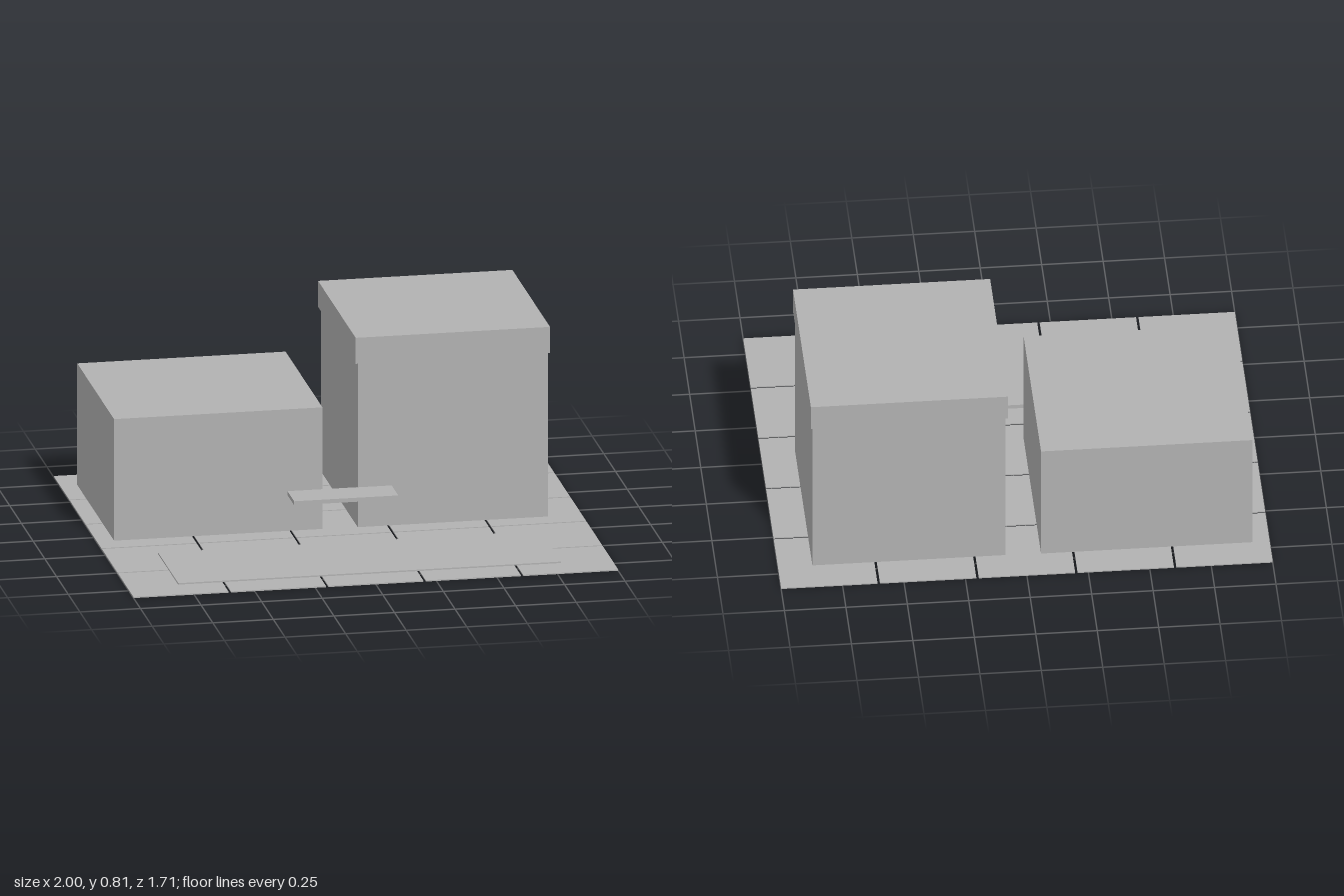
import * as THREE from 'three';

const concrete = new THREE.MeshStandardMaterial({ color: 0xb2b2b2 });
concrete.name = 'concrete grey';

// Box given by its lower and upper corners
function block(name, [x0, y0, z0], [x1, y1, z1]) {
  const geometry = new THREE.BoxGeometry(x1 - x0, y1 - y0, z1 - z0);
  const mesh = new THREE.Mesh(geometry, concrete);
  mesh.name = name;
  mesh.position.set((x0 + x1) / 2, (y0 + y1) / 2, (z0 + z1) / 2);
  return mesh;
}

// Five by five paving slabs separated by narrow joints
function createPaving() {
  const paving = new THREE.Group();
  paving.name = 'paving';
  const count = 5, joint = 0.01, width = 2, depth = 1.706, top = 0.005;
  const stepX = (width + joint) / count, stepZ = (depth + joint) / count;
  for (let row = 0; row < count; row++) {
    for (let col = 0; col < count; col++) {
      const x = -width / 2 + col * stepX, z = -depth / 2 + row * stepZ;
      paving.add(block('pavingSlab', [x, 0, z], [x + stepX - joint, top, z + stepZ - joint]));
    }
  }
  return paving;
}

export function createModel() {
  const model = new THREE.Group();
  model.name = 'buildings';

  // Ground and raised forecourt
  model.add(createPaving());
  model.add(block('forecourt', [-0.79, 0.005, 0.29], [0.79, 0.011, 0.72]));

  // Low block, and tall block with its overhanging parapet
  model.add(block('lowBlock', [-0.93, 0.005, -0.714], [-0.07, 0.52, 0.073]));
  model.add(block('tallBlock', [0.075, 0.005, -0.711], [0.86, 0.7, 0.077]));
  model.add(block('parapet', [0.065, 0.7, -0.72], [0.867, 0.81, 0.084]));

  // Entrance canopy bridging the two blocks
  model.add(block('canopy', [-0.215, 0.157, 0.075], [0.215, 0.174, 0.218]));

  return model;
}
